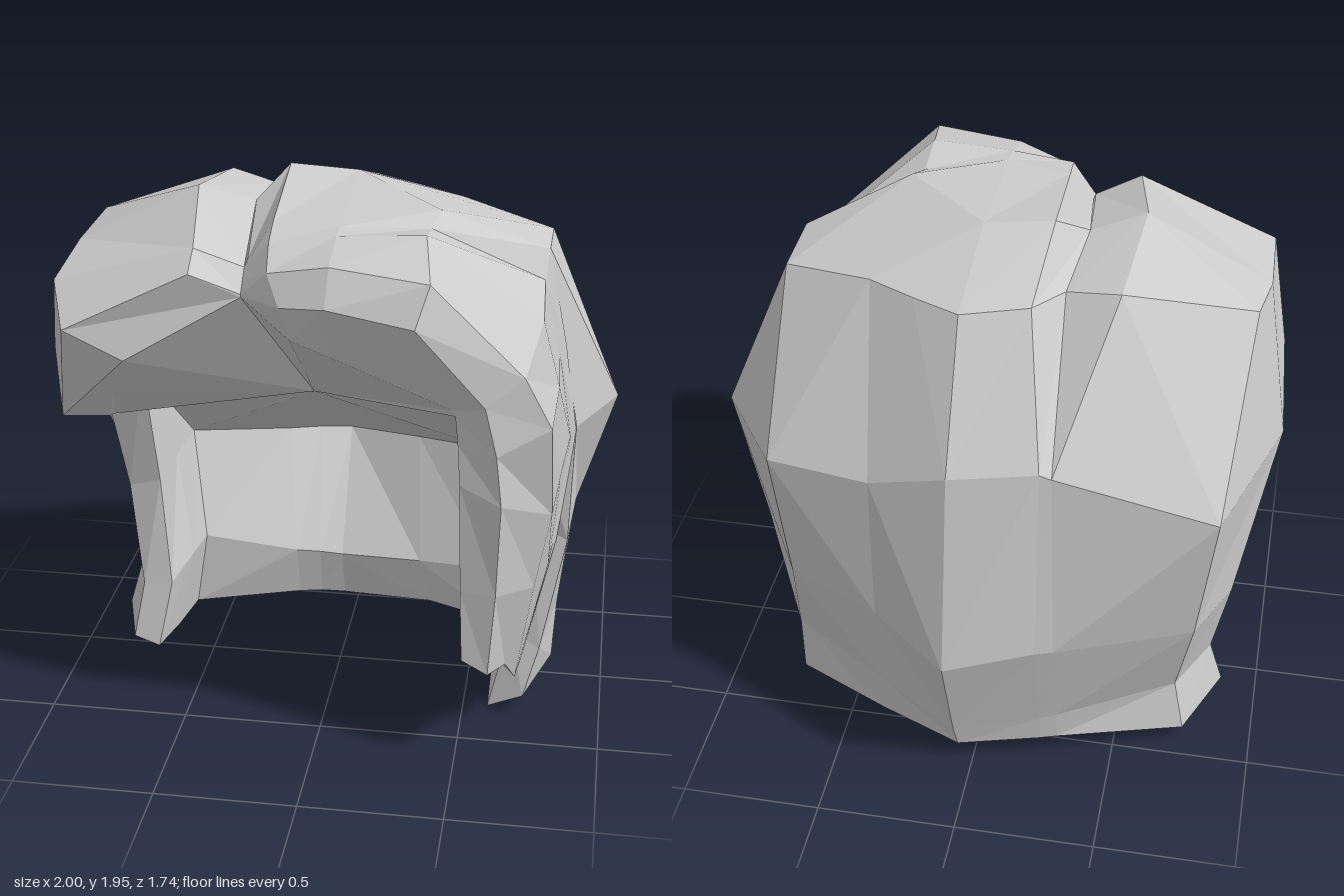
import * as THREE from 'three';

// Grid surface through neighbouring strands (each a list of [x, y, z] from root to tip)
function skin(name, strands, material, flip = false) {
  const rows = strands[0].length;
  const index = [];
  for (let j = 0; j < strands.length - 1; j++) {
    for (let i = 0; i < rows - 1; i++) {
      const a = j * rows + i, b = a + 1, d = a + rows, c = d + 1;
      if (flip) index.push(a, d, b, b, d, c);
      else index.push(a, b, d, b, c, d);
    }
  }
  const geometry = new THREE.BufferGeometry();
  geometry.setAttribute('position', new THREE.Float32BufferAttribute(strands.flat(2), 3));
  geometry.setIndex(index);
  const flat = geometry.toNonIndexed();
  flat.computeVertexNormals();
  const mesh = new THREE.Mesh(flat, material);
  mesh.name = name;
  return mesh;
}

// Closes the front edge of a curtain by joining its outer points to its inner ones
const withEdge = (strands) => {
  const last = strands[strands.length - 1];
  return [...strands, last.map((p, i) => (i > 5 ? last[11 - i] : p))];
};

export function createModel() {
  const hair = new THREE.MeshStandardMaterial({
    color: 0xcccccc, flatShading: true, side: THREE.DoubleSide,
  });
  hair.name = 'hair grey';

  const apex = [-0.08, 1.16, 0.1];       // inner hollow above the head
  const crown = [0.06, 1.94, -0.06];
  const ridge = [-0.47, 1.92, 0.14];
  const groove = [-0.28, 1.86, 0.09];
  const shoulder = [-0.91, 1.7, 0.12];
  const rightCheek = [-1.0, 1.23, -0.08];
  const leftHollow = [0.5, 1.15, 0.08];
  const rightHollow = [-0.75, 1.14, -0.04];

  // Strands run crown, temple, cheek, low, flare, hem, then back up the inside
  const middle = [crown, [0.07, 1.82, -0.45], [0.06, 1.37, -0.74], [0.06, 0.64, -0.87],
    [0.06, 0.2, -0.71], [0.05, 0.1, -0.68],
    [-0.06, 0.01, -0.52], [-0.06, 0.22, -0.45], [-0.06, 0.67, -0.72], apex];

  const leftStrands = [
    [crown, [0.24, 1.81, -0.36], [0.35, 1.24, -0.64], [0.35, 0.66, -0.64],
      [0.36, 0.25, -0.55], [0.36, 0.09, -0.54],
      [0.3, 0.04, -0.44], [0.26, 0.24, -0.4], [0.23, 0.7, -0.59], apex],
    [crown, [0.41, 1.8, -0.26], [0.73, 1.21, -0.54], [0.69, 0.68, -0.49],
      [0.73, 0.28, -0.33], [0.72, 0.07, -0.35],
      [0.58, 0.05, -0.3], [0.55, 0.28, -0.3], [0.51, 0.73, -0.45], leftHollow],
    [crown, [0.74, 1.74, -0.12], [1.0, 1.13, -0.1], [0.87, 0.67, -0.17],
      [0.82, 0.28, -0.08], [0.81, 0.09, 0],
      [0.6, 0.03, 0], [0.6, 0.3, -0.08], [0.58, 0.73, -0.15], leftHollow],
    [[0.38, 1.91, 0.28], [0.74, 1.75, 0.14], [0.86, 1.09, 0.12], [0.85, 0.66, 0.16],
      [0.77, 0.27, 0.27], [0.72, 0.1, 0.33],
      [0.59, 0.01, 0.27], [0.66, 0.3, 0.2], [0.72, 0.7, 0.1], [0.7, 1.12, 0.1]],
  ];

  const backRightStrands = [
    [[-0.18, 1.96, -0.04], [-0.16, 1.84, -0.4], [-0.24, 1.4, -0.7], [-0.24, 0.65, -0.74],
      [-0.24, 0.22, -0.62], [-0.24, 0.1, -0.6],
      [-0.15, 0.02, -0.5], [-0.15, 0.23, -0.44], [-0.18, 0.68, -0.68], apex],
    [groove, [-0.25, 1.82, -0.25], [-0.28, 1.38, -0.69], [-0.3, 0.65, -0.72],
      [-0.3, 0.23, -0.6], [-0.3, 0.1, -0.58],
      [-0.24, 0.02, -0.48], [-0.24, 0.24, -0.42], [-0.3, 0.69, -0.62], apex],
  ];
  const rightStrands = [
    [ridge, [-0.44, 1.86, -0.3], [-0.83, 1.2, -0.61], [-0.77, 0.66, -0.54],
      [-0.71, 0.28, -0.41], [-0.75, 0.08, -0.43],
      [-0.64, 0.02, -0.34], [-0.59, 0.33, -0.32], [-0.66, 0.73, -0.45], rightHollow],
    [ridge, [-0.88, 1.74, -0.13], rightCheek, [-0.88, 0.65, -0.28],
      [-0.82, 0.28, -0.18], [-0.87, 0.1, -0.16],
      [-0.67, 0.02, -0.14], [-0.61, 0.33, -0.16], [-0.68, 0.72, -0.24], rightHollow],
    [ridge, shoulder, [-0.93, 1.08, -0.12], [-0.83, 0.65, -0.08],
      [-0.77, 0.27, 0.0], [-0.81, 0.05, 0.03],
      [-0.71, 0.02, 0.04], [-0.66, 0.28, 0.0], [-0.7, 0.7, -0.04], rightHollow],
  ];

  // Right fringe lobe: sections from back to front, each from the parting out and under
  const fringeLobe = [
    [groove, ridge, shoulder, rightCheek, [-0.93, 1.08, -0.03], rightHollow, apex],
    [[-0.24, 1.76, 0.52], [-0.4, 1.83, 0.56], [-0.9, 1.67, 0.48], [-0.97, 1.36, 0.3],
      [-0.85, 1.06, 0.18], [-0.75, 1.14, 0.14], apex],
    [[-0.24, 1.69, 0.59], [-0.4, 1.77, 0.65], [-0.82, 1.57, 0.69], [-0.88, 1.2, 0.54],
      [-0.76, 1.14, 0.38], [-0.75, 1.14, 0.2], apex],
    [[-0.24, 1.68, 0.59], [-0.24, 1.68, 0.59], [-0.62, 1.47, 0.68], [-0.7, 1.29, 0.52],
      [-0.75, 1.14, 0.36], [-0.75, 1.14, 0.2], apex],
    Array(7).fill(apex),
  ];

  // Centre fringe strands: crown, notch, top, brow, front, rim, hollow
  const sweepRoot = [[0.38, 1.91, 0.28], [0.36, 1.875, 0.38], [0.36, 1.905, 0.55],
    [0.4, 1.83, 0.81], [0.36, 1.7, 0.87], [0.47, 1.38, 0.72], apex];
  const fringeCentre = [
    [groove, [-0.24, 1.77, 0.46], [-0.24, 1.76, 0.52], [-0.24, 1.72, 0.56], [-0.24, 1.69, 0.59],
      [-0.24, 1.68, 0.59], apex],
    [[-0.18, 1.96, -0.04], [-0.16, 1.89, 0.42], [-0.15, 1.86, 0.56], [-0.14, 1.79, 0.66],
      [-0.09, 1.7, 0.73], [-0.06, 1.58, 0.7], apex],
    [crown, [0.07, 1.895, 0.47], [0.07, 1.89, 0.55], [0.07, 1.84, 0.72],
      [0.07, 1.73, 0.81], [0.07, 1.54, 0.72], apex],
    sweepRoot,
  ];

  // Long lock: cross-sections from the notch down to the tip, starting under the cap edge
  const lock = [
    sweepRoot,
    [[0.74, 1.75, 0.14], [0.73, 1.66, 0.21], [0.74, 1.6, 0.45], [0.7, 1.51, 0.74],
      [0.58, 1.42, 0.79], [0.48, 1.36, 0.72], leftHollow],
    [[0.81, 1.4, 0.13], [0.79, 1.38, 0.17], [0.8, 1.36, 0.42], [0.79, 1.32, 0.69],
      [0.62, 1.25, 0.78], [0.49, 1.26, 0.72], [0.55, 1.12, 0.1]],
    [[0.86, 1.07, 0.12], [0.84, 1.06, 0.14], [0.82, 1.02, 0.35], [0.8, 0.96, 0.57],
      [0.64, 1.07, 0.77], [0.5, 1.12, 0.73], [0.68, 1.05, 0.13]],
    [[0.81, 0.66, 0.16], [0.8, 0.66, 0.18], [0.79, 0.66, 0.35], [0.75, 0.66, 0.53],
      [0.63, 0.72, 0.73], [0.51, 0.72, 0.71], [0.7, 0.66, 0.2]],
    [[0.71, 0.24, 0.27], [0.71, 0.24, 0.28], [0.69, 0.21, 0.38], [0.66, 0.33, 0.5],
      [0.61, 0.4, 0.7], [0.52, 0.45, 0.7], [0.67, 0.25, 0.29]],
    Array(7).fill([0.63, 0.34, 0.48]),
  ].map((section) => [...section, section[0]]);

  const group = new THREE.Group();
  group.name = 'hair';
  group.add(
    skin('leftCurtain', withEdge([middle, ...leftStrands]), hair, true),
    skin('rightCurtain', withEdge([middle, ...backRightStrands, ...rightStrands]), hair),
    skin('fringeLobe', fringeLobe, hair, true),
    skin('fringeCentre', fringeCentre, hair),
    skin('sweptLock', lock, hair),
  );
  return group;
}
